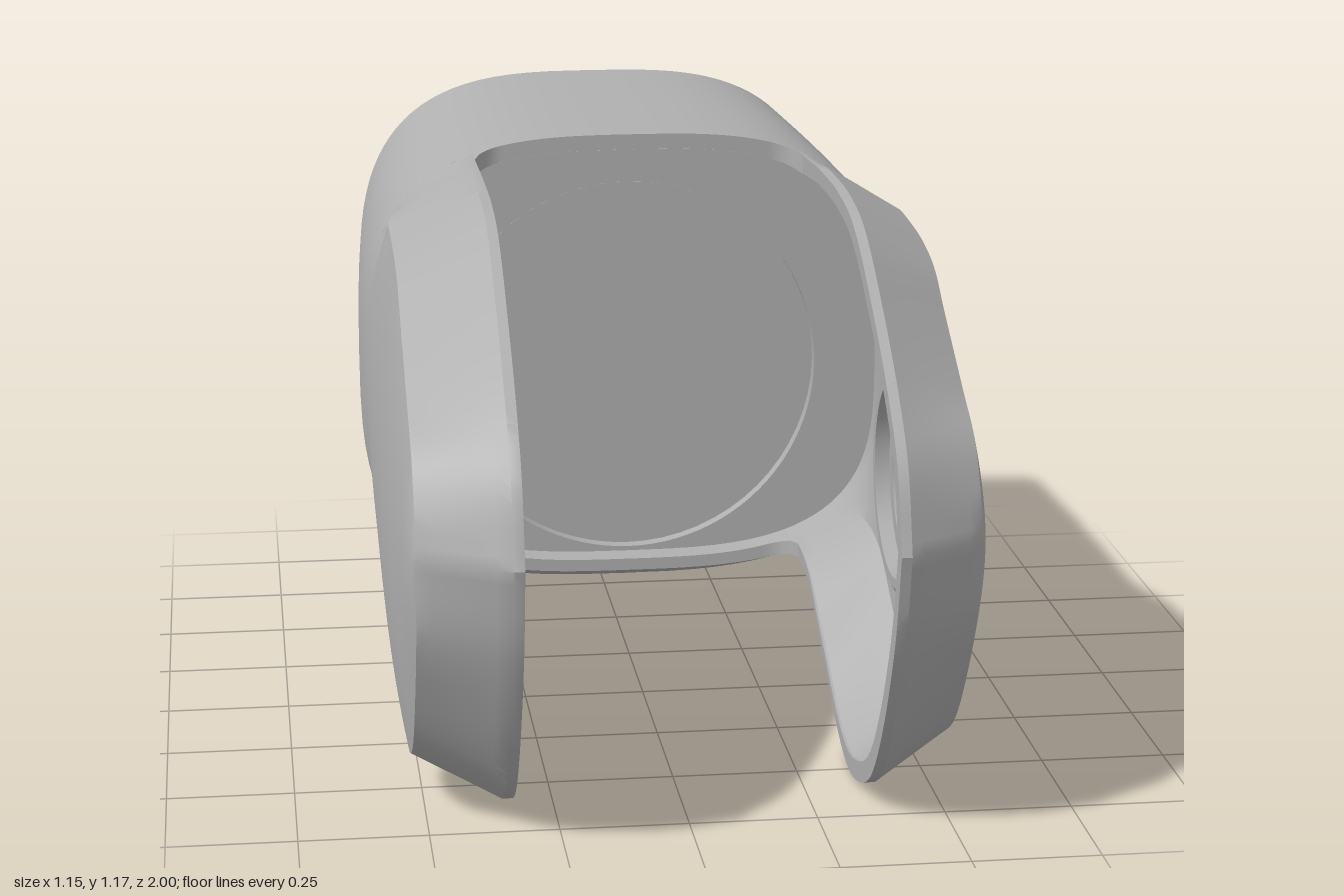
import * as THREE from 'three';
import { toCreasedNormals } from 'three/addons/utils/BufferGeometryUtils.js';

const V = (x, y, z) => new THREE.Vector3(x, y, z);
const MID = 0.632, POW = 3.1;                       // centre height and squareness of the barrel
const NECK = { a: 0.572, top: 1.165, bot: 0.208 };  // barrel section where the slot starts
const SLOT = -0.2, WALL = 0.94;                     // slot end, inner scale of the shell
const LEFT = 0.355, RIGHT = 0.333;                  // slot half widths

// Surface through rows of points
function grid(rows, crease = 0.5) {
  const pos = [], idx = [], m = rows[0].length;
  rows.forEach(r => r.forEach(p => pos.push(p.x, p.y, p.z)));
  for (let i = 0; i < rows.length - 1; i++) for (let j = 0; j < m - 1; j++) {
    const a = i * m + j, b = a + 1, c = a + m, d = c + 1;
    idx.push(a, c, b, b, c, d);
  }
  const g = new THREE.BufferGeometry();
  g.setAttribute('position', new THREE.Float32BufferAttribute(pos, 3));
  g.setIndex(idx);
  return toCreasedNormals(g, crease);
}

// Point on the squarish barrel section
function sectionPoint(th, z, { a, top, bot }, k = 1) {
  const c = Math.cos(th), s = Math.sin(th), e = 2 / POW;
  const h = s > 0 ? top - MID : MID - bot;
  return V(a * k * Math.sign(c) * Math.abs(c) ** e, MID + h * k * Math.sign(s) * Math.abs(s) ** e, z);
}
const ring = (z, sec, k) =>
  Array.from({ length: 97 }, (_, i) => sectionPoint(i / 96 * Math.PI * 2, z, sec, k));

const curve = pts => new THREE.CatmullRomCurve3(pts.map(([z, y]) => V(0, y, z)));

// Ear outlines as (z, y), running from the neck to the tip
const rimTop = curve([[-0.2, 1.135], [0.1, 1.135], [0.3, 1.13], [0.46, 1.1], [0.67, 0.985], [0.86, 0.845], [0.945, 0.75], [1, 0.6]]);
const rimBot = curve([[-0.2, 0.235], [-0.12, 0.238], [-0.02, 0.222], [0.19, 0.13], [0.38, 0.03], [0.5, 0], [0.6, 0.012],
  [0.73, 0.07], [0.84, 0.195], [0.955, 0.42], [1, 0.6]]);
const faceTop = curve([[-0.2, 1.045], [0.06, 1.045], [0.3, 1.03], [0.42, 1], [0.51, 0.945], [0.7, 0.835], [0.82, 0.765], [0.88, 0.68], [0.905, 0.6]]);
const faceBot = curve([[-0.2, 0.37], [0.03, 0.32], [0.25, 0.2], [0.42, 0.107], [0.5, 0.09], [0.59, 0.107], [0.7, 0.17],
  [0.81, 0.31], [0.88, 0.445], [0.905, 0.6]]);

// Rows of one ear skin, chamfer - domed face - chamfer, blending into the barrel at the neck
function earRows(side, slot, inner) {
  const N = 56, C = 6, F = 20, M = 2 * C + F, k = inner ? WALL : 1;
  const crease = slot + (inner ? 0.005 : 0.02), face = inner ? 0.495 : 0.525, dome = inner ? 0.015 : 0.05;
  const shrink = p => inner ? V(p.x, 0.6 + (p.y - 0.6) * WALL, SLOT + (p.z - SLOT) * 0.97) : p;
  const th0 = Math.acos((slot / (NECK.a * k)) ** (POW / 2));
  const rows = [];
  for (let i = 0; i <= N; i++) {
    const u = i / N, w = THREE.MathUtils.smoothstep(u, 0, 0.22);
    const [rt, rb, ft, fb] = [rimTop, rimBot, faceTop, faceBot].map(c => shrink(c.getPointAt(u)));
    const row = [];
    for (let j = 0; j <= M; j++) {
      let p;
      if (j < C || j > M - C) {
        const t = Math.min(j, M - j) / C;
        p = (j < C ? rt : rb).clone().lerp(j < C ? ft : fb, t);
        p.x = crease + (face - crease) * t;
      } else {
        const q = (j - C) / F;
        p = ft.clone().lerp(fb, q);
        p.x = face + dome * 4 * q * (1 - q) * (1 - u ** 3);
      }
      row.push(sectionPoint(th0 * (1 - 2 * j / M), p.z, NECK, k).lerp(p, w));
    }
    // flat rim edge on the slot plane
    const first = row[0].clone(), last = row[M].clone();
    first.x = last.x = slot;
    rows.push([first, ...row, last].map(q => V(q.x * side, q.y, q.z)));
  }
  return rows;
}

export function createModel() {
  const group = new THREE.Group();
  const grey = new THREE.MeshStandardMaterial({ color: 0xb0b0b0, side: THREE.DoubleSide });
  grey.name = 'grey';
  const add = (name, geo) => {
    const m = new THREE.Mesh(geo, grey);
    m.name = name;
    group.add(m);
    return m;
  };

  // Barrel: half width and underside vary along z
  const under = curve([[-1, 0.11], [-0.85, 0.1], [-0.7, 0.097], [-0.55, 0.108], [-0.4, 0.138], [-0.3, 0.17], [-0.2, 0.208]]);
  const barrelRows = [];
  for (let i = 0; i <= 24; i++) {
    const p = under.getPoint(i / 24), t = (p.z + 1) / 0.8;
    barrelRows.push(ring(p.z, { a: 0.543 + 0.029 * Math.sin(t * Math.PI / 2), top: 1.165, bot: p.y }));
  }
  add('barrel', grid(barrelRows));
  const cap = add('backCap', new THREE.ShapeGeometry(
    new THREE.Shape(barrelRows[0].slice(0, 96).map(p => new THREE.Vector2(-p.x, p.y)))));
  cap.rotation.y = Math.PI;
  cap.position.z = -1;

  // Cavity behind the slot, closed by a wall with a round recess
  const wallZ = -0.26, discZ = -0.29;
  add('cavity', grid([ring(SLOT, NECK, WALL), ring(wallZ, NECK, WALL)]));
  const wall = new THREE.Shape(ring(0, NECK, WALL).slice(0, 96).map(p => new THREE.Vector2(p.x, p.y)));
  wall.holes.push(new THREE.Path().absarc(0, 0.648, 0.405, 0, Math.PI * 2, true));
  add('cavityWall', new THREE.ShapeGeometry(wall, 48)).position.z = wallZ;
  const recess = add('recessWall', new THREE.CylinderGeometry(0.405, 0.405, wallZ - discZ, 64, 1, true));
  recess.rotation.x = Math.PI / 2;
  recess.position.set(0, 0.648, (wallZ + discZ) / 2);
  add('recessDisc', new THREE.CircleGeometry(0.405, 64)).position.set(0, 0.648, discZ);

  // Slot lips above and below, with rounded corners
  for (const s of [1, -1]) {
    const rows = [[], [], [], []], r = 0.06;
    for (let i = 0; i <= 60; i++) {
      const x = -RIGHT + (LEFT + RIGHT) * i / 60;
      const d = Math.max(0, r - Math.min(x + RIGHT, LEFT - x));
      const z = SLOT + r - Math.sqrt(Math.max(0, r * r - d * d));
      const h = s > 0 ? NECK.top - MID : MID - NECK.bot;
      const y = k => MID + s * h * k * (1 - (Math.abs(x) / (NECK.a * k)) ** POW) ** (1 / POW);
      rows[0].push(V(x, y(1), SLOT));
      rows[1].push(V(x, y(1), z));
      rows[2].push(V(x, y(WALL), z));
      rows[3].push(V(x, y(WALL), SLOT));
    }
    add(s > 0 ? 'topSlotLip' : 'bottomSlotLip', grid(rows));
  }

  // Ears: outer skin, inner skin, rim and pivot boss
  for (const [name, side, slot] of [['left', 1, LEFT], ['right', -1, RIGHT]]) {
    const outer = earRows(side, slot, false), inner = earRows(side, slot, true);
    add(name + 'EarOuter', grid(outer));
    add(name + 'EarInner', grid(inner));
    for (const end of ['Top', 'Bottom']) {
      const pick = r => end === 'Top' ? r[0] : r[r.length - 1];
      add(name + 'Rim' + end, grid([outer.map(pick), inner.map(pick)]));
    }
    const profile = [[0.26, -0.02], [0.26, 0.035], [0.215, 0.06], [0.195, 0.06], [0.195, 0.03], [0.165, 0.03], [0.165, 0.005], [0, 0.005]];
    const boss = add(name + 'PivotBoss', toCreasedNormals(
      new THREE.LatheGeometry(profile.map(p => new THREE.Vector2(...p)), 48), 0.4));
    boss.rotation.z = side * Math.PI / 2;
    boss.position.set(side * 0.5, 0.59, 0.47);
  }
  return group;
}
